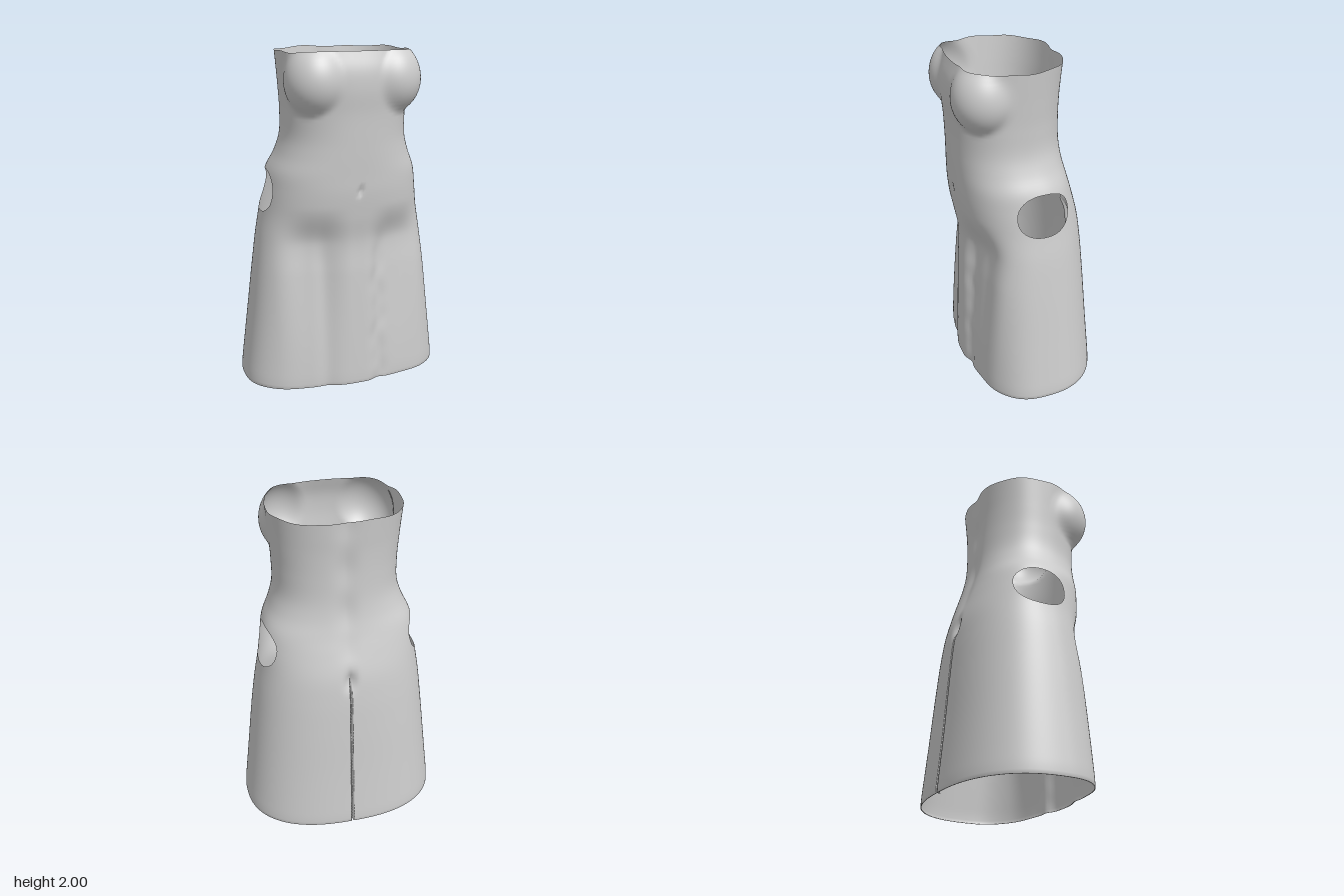
import * as THREE from 'three';

// Body stations: height, then half width, front z, back z, centre z, squareness
const STATIONS = [
  [0.00, 0.624, 0.374, -0.441, 0.03, 2.45],
  [0.35, 0.582, 0.366, -0.410, 0.03, 2.45],
  [0.70, 0.541, 0.355, -0.384, 0.03, 2.4],
  [0.90, 0.514, 0.347, -0.366, 0.02, 2.35],
  [1.05, 0.487, 0.370, -0.344, 0.01, 2.35],
  [1.20, 0.466, 0.388, -0.302, 0.01, 2.4],
  [1.30, 0.448, 0.393, -0.272, 0.02, 2.4],
  [1.40, 0.402, 0.398, -0.249, 0.05, 2.35],
  [1.50, 0.372, 0.402, -0.236, 0.07, 2.3],
  [1.65, 0.368, 0.408, -0.230, 0.08, 2.3],
  [1.80, 0.376, 0.420, -0.231, 0.08, 2.35],
  [1.90, 0.383, 0.414, -0.237, 0.08, 2.4],
  [2.00, 0.390, 0.384, -0.243, 0.08, 2.5],
];
const spline = new THREE.CubicInterpolant(
  STATIONS.map((s) => s[0]), STATIONS.flatMap((s) => s.slice(1)), 5);

const bell = (d, width) => Math.exp(-((d / width) ** 2));
const ramp = (v, a, b) => THREE.MathUtils.smoothstep(v, a, b);
const softMax = (a, b, k) => (a + b + Math.sqrt((a - b) ** 2 + k * k)) / 2;

// Distance from the axis to the outer side of a bust cup along a direction
function cupReach(dx, dz, y, zc) {
  const h = (y - 1.83) / (y < 1.83 ? 0.19 : 0.205);
  if (Math.abs(h) >= 1) return 0;
  const r = 0.173 * Math.sqrt(1 - h * h);
  const cx = 0.23, cz = 0.264 - zc;
  const along = Math.abs(dx) * cx + dz * cz;
  const disc = along * along - cx * cx - cz * cz + r * r;
  return disc > 0 ? along + Math.sqrt(disc) : 0;
}

// Point on the dress; a = 0 at the back, growing towards +x
function surfacePoint(a, y) {
  const [w, zf, zb, zc, n] = spline.evaluate(y);
  const s = Math.sin(a), c = -Math.cos(a);
  const k = (Math.abs(s) ** n + Math.abs(c) ** n) ** (-1 / n);
  const depth = c > 0 ? zf - zc : zc - zb;
  let x = s * k * w, z = zc + c * k * depth;

  if (c > 0) {
    // bust
    const r = Math.hypot(x, z - zc);
    const dx = x / r, dz = (z - zc) / r;
    const reach = cupReach(dx, dz, y, zc);
    if (reach > r - 0.1) {
      const grown = Math.max(r, softMax(r, reach, 0.03) - 0.0023);
      x = dx * grown;
      z = zc + dz * grown;
    }
    // skirt folds either side of the front panel
    const skirt = 1 - ramp(y, 0.75, 1.0);
    const wave = 0.008 * Math.sin(y * 17) + 0.004 * Math.sin(y * 37);
    z -= skirt * (0.018 * bell(x - 0.14 - wave, 0.04) + 0.012 * bell(x + 0.19, 0.05));
    // thighs set back from the panel, most at the top of the skirt
    const setBack = (0.016 + 0.03 * ramp(y, 0, 0.9)) * (1 - ramp(y, 0.88, 1.12));
    z -= setBack * ramp(Math.abs(x), 0.04, 0.22) * (1 - ramp(Math.abs(x), 0.28, 0.48));
    // navel
    z -= 0.025 * bell(x, 0.012) * bell(y - 1.21, 0.02);
  } else {
    // spine hollow, dip above the slit, and the closed slit itself
    z += 0.012 * bell(x, 0.06) * ramp(y, 1.1, 1.3) * (1 + 0.3 * Math.sin(y * 23));
    z += 0.035 * bell(x, 0.03) * bell(y - 1.03, 0.05);
    z += 0.022 * Math.max(0, 1 - Math.abs(a) / 0.012) * (1 - ramp(y, 0.96, 1.06));
  }

  // side opening: points inside it slide out to its rim
  let inside = false;
  if (Math.abs(s) > 0.6) {
    const hz = (z + 0.02) / 0.16, hy = (y - 1.172) / 0.125;
    const rho = (Math.abs(hz) ** 2.3 + Math.abs(hy) ** 2.3) ** (1 / 2.3);
    if (rho < 1) {
      inside = true;
      const grow = 1 / Math.max(rho, 0.001);
      z = -0.02 + hz * grow * 0.16;
      y = 1.172 + hy * grow * 0.125;
      const [w2, zf2, zb2, zc2, n2] = spline.evaluate(y);
      const v = Math.abs(z - zc2) / (z > zc2 ? zf2 - zc2 : zc2 - zb2);
      x = Math.sign(s) * w2 * (1 - v ** n2) ** (1 / n2);
    }
  }
  return { x, y, z, inside };
}

function dressGeometry() {
  // columns, with extra ones at the slit
  const columns = [0.006, 0.012, 0.02].flatMap((d) => [d, 2 * Math.PI - d]);
  const COLS = 176, ROWS = 90;
  for (let i = 0; i < COLS; i++) columns.push((i / COLS) * Math.PI * 2);
  columns.sort((p, q) => p - q);
  const count = columns.length;

  const positions = [], inside = [], index = [];
  for (let j = -1; j <= ROWS; j++) {
    for (const col of columns) {
      const a = col > Math.PI ? col - 2 * Math.PI : col;
      // slightly uneven neckline, lower away from the front
      const drop = (0.009 + 0.003 * Math.sin(5 * a) + 0.003 * Math.cos(9 * a)) *
        (1 - ramp(-Math.cos(a), 0.4, 0.9));
      const t = Math.max(j, 0) / ROWS;
      const p = surfacePoint(a, 2 * t - drop * ramp(t, 0.9, 1));
      // hem rounds in a little and ends in a narrow turned lip
      const hem = 1 - 0.007 * (1 - Math.min(p.y / 0.08, 1)) ** 2;
      const scale = j < 0 ? hem - 0.012 : hem;
      positions.push(p.x * scale, p.y, p.z * scale);
      inside.push(p.inside);
    }
  }
  const addFace = (p, q, r) => {
    if (!(inside[p] && inside[q] && inside[r])) index.push(p, q, r);
  };
  for (let j = 0; j <= ROWS; j++) {
    for (let i = 0; i < count; i++) {
      const k = (i + 1) % count;
      const p = j * count + i, q = j * count + k;
      addFace(p, p + count, q);
      addFace(q, p + count, q + count);
    }
  }
  const geometry = new THREE.BufferGeometry();
  geometry.setAttribute('position', new THREE.Float32BufferAttribute(positions, 3));
  geometry.setIndex(index);
  geometry.computeVertexNormals();
  return geometry;
}

export function createModel() {
  const group = new THREE.Group();
  group.name = 'straplessDress';
  const cloth = new THREE.MeshStandardMaterial({ color: 0xcccccc, side: THREE.DoubleSide });
  cloth.name = 'light grey cloth';
  const dress = new THREE.Mesh(dressGeometry(), cloth);
  dress.name = 'dress';
  group.add(dress);
  return group;
}
